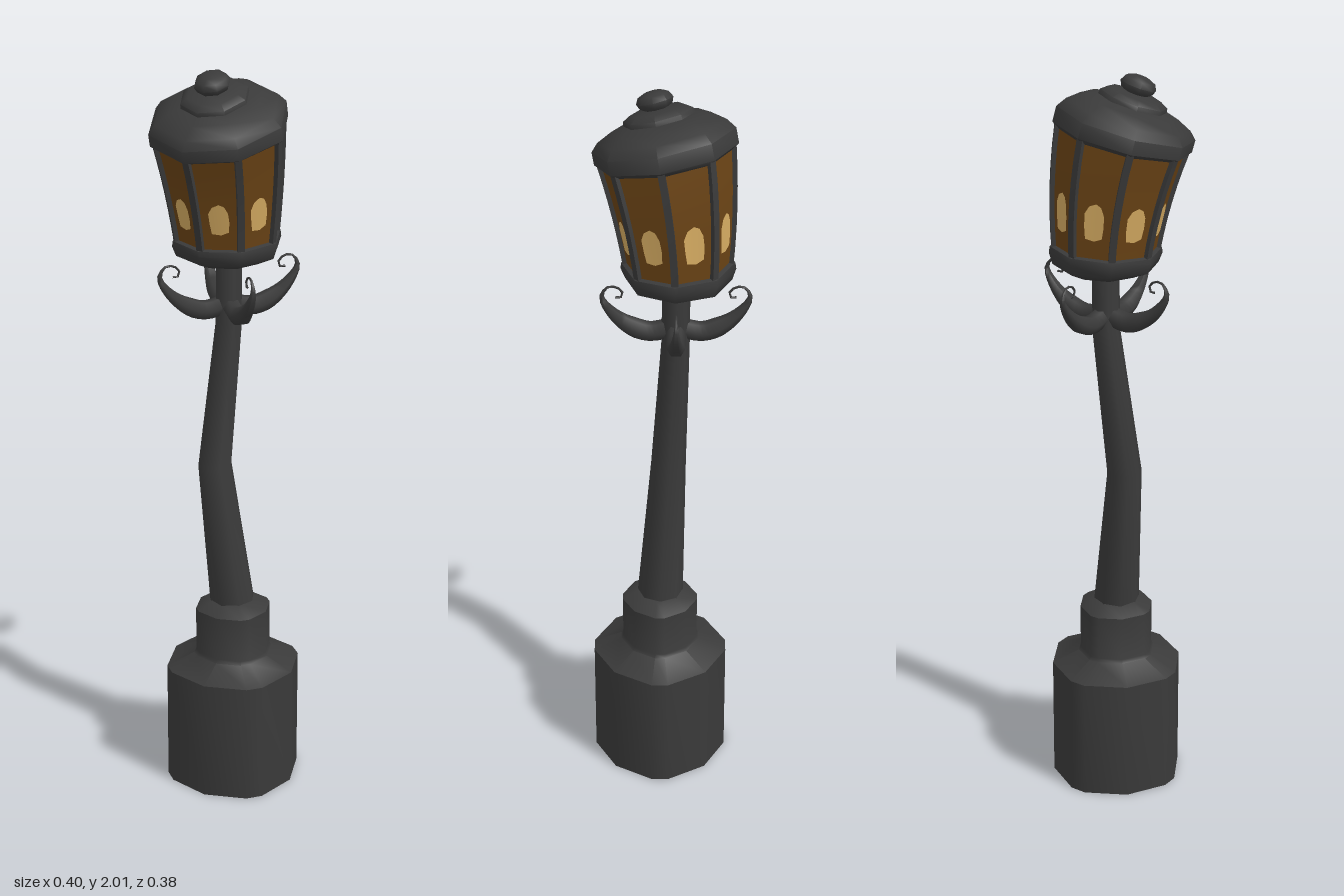
import * as THREE from 'three';
import { toCreasedNormals } from 'three/addons/utils/BufferGeometryUtils.js';

const iron = new THREE.MeshStandardMaterial({ color: 0x3a3a3a });
iron.name = 'dark iron';
const amber = new THREE.MeshStandardMaterial({ color: 0x6a4315, side: THREE.DoubleSide });
amber.name = 'amber glass';
const glow = new THREE.MeshStandardMaterial({ color: 0xd6ac62, side: THREE.DoubleSide });
glow.name = 'warm glow';

const SIDES = 8;
const TWIST = -0.06; // slight turn of the lantern about its axis
const STEP = (Math.PI * 2) / SIDES;
const BEND = 0.7; // curvature of the drooping lantern

// Calls rule(vertex, index) on every vertex, then rebuilds the normals
function reshape(geometry, rule, crease = 0.9) {
  const p = geometry.attributes.position;
  const v = new THREE.Vector3();
  for (let i = 0; i < p.count; i++) {
    v.fromBufferAttribute(p, i);
    rule(v, i);
    p.setXYZ(i, v.x, v.y, v.z);
  }
  geometry.computeVertexNormals();
  return toCreasedNormals(geometry, crease);
}

// Curves an upright lantern piece forward, more with height
function bend(v) {
  const a = v.y * BEND;
  const r = 1 / BEND - v.z;
  v.set(v.x, r * Math.sin(a), 1 / BEND - r * Math.cos(a));
}

const profile = (list) => list.map(([r, y]) => new THREE.Vector2(r, y));

function add(parent, name, geometry, material) {
  const mesh = new THREE.Mesh(geometry, material);
  mesh.name = name;
  parent.add(mesh);
  return mesh;
}

// Plinth with narrow chamfered diagonals
function makeBase() {
  const points = profile([[0, 0], [0.179, 0], [0.179, 0.34], [0.105, 0.375],
    [0.1, 0.385], [0.1, 0.51], [0.06, 0.535], [0, 0.535]]);
  const corner = [[0, 1], [38, 1.04], [52, 1.04]];
  return reshape(new THREE.LatheGeometry(points, 12), (v, i) => {
    const k = Math.floor(i / points.length);
    const [deg, scale] = corner[k % 3];
    const a = THREE.MathUtils.degToRad(Math.floor(k / 3) * 90 + deg);
    const r = points[i % points.length].x * scale;
    v.set(0.018 + r * Math.sin(a), v.y, -0.005 + r * Math.cos(a));
  }, 0.75);
}

// Crooked post: each ring is shifted to its own centre
function makePost() {
  const points = profile([[0.064, 0.5], [0.047, 0.93], [0.037, 1.33], [0.036, 1.52]]);
  const centre = [[0.019, -0.005], [-0.03, 0.01], [-0.01, -0.035], [-0.011, -0.037]];
  return reshape(new THREE.LatheGeometry(points, SIDES), (v, i) => {
    const [x, z] = centre[i % points.length];
    v.x += x;
    v.z += z;
  });
}

// Tapered scroll bracket reaching along +x
function makeArm() {
  const path = new THREE.CatmullRomCurve3([[0.01, 1.375], [0.07, 1.364], [0.125, 1.385],
    [0.17, 1.425], [0.191, 1.465], [0.176, 1.492], [0.152, 1.492], [0.137, 1.476],
    [0.143, 1.462], [0.156, 1.463]].map(([x, y]) => new THREE.Vector3(x, y, 0)));
  const segments = 22;
  const radial = 6;
  return reshape(new THREE.TubeGeometry(path, segments, 0.026, radial), (v, i) => {
    const t = Math.floor(i / (radial + 1)) / segments;
    const taper = t < 0.3 ? 1 : THREE.MathUtils.lerp(1, 0.12, Math.min(1, (t - 0.3) / 0.45));
    const c = path.getPointAt(t);
    v.sub(c).multiplyScalar(taper).add(c);
  }, 1.1);
}

// Lantern wall radius (at a corner) for a height above the tray's underside
const wall = (y) => THREE.MathUtils.mapLinear(y, 0.06, 0.35, 0.133, 0.168);

function makeLantern() {
  const lantern = new THREE.Group();
  lantern.name = 'lantern';
  const turned = (list) => reshape(
    new THREE.LatheGeometry(profile(list), SIDES, TWIST, Math.PI * 2), bend);

  add(lantern, 'tray', turned([[0, 0], [0.09, 0], [0.138, 0.022], [0.148, 0.05],
    [0.146, 0.066], [0.125, 0.072], [0, 0.072]]), iron);
  add(lantern, 'roof', turned([[0, 0.345], [0.165, 0.345], [0.184, 0.358], [0.184, 0.395],
    [0.165, 0.418], [0.125, 0.44], [0.085, 0.45], [0, 0.455]]), iron);
  add(lantern, 'roofCollar', turned([[0.092, 0.444], [0.09, 0.46], [0.07, 0.472],
    [0.03, 0.476], [0.03, 0.48]]), iron);
  add(lantern, 'finial', turned([[0.022, 0.472], [0.042, 0.482], [0.048, 0.496],
    [0.04, 0.511], [0.022, 0.519], [0, 0.521]]), iron);

  // Eight-sided glass wall
  const glass = new THREE.CylinderGeometry(wall(0.35), wall(0.06), 0.29, SIDES, 6, true, TWIST);
  glass.translate(0, 0.205, 0);
  add(lantern, 'glass', reshape(glass, bend, 0.5), amber);

  // Uneven glowing patch, repeated on each pane
  const blob = new THREE.Shape(profile([[-0.02, -0.045], [0.004, -0.049], [0.024, -0.04],
    [0.027, -0.01], [0.025, 0.02], [0.016, 0.04], [0.002, 0.047], [-0.016, 0.038],
    [-0.026, 0.018], [-0.024, -0.015]]));

  for (let k = 0; k < SIDES; k++) {
    const bar = new THREE.BoxGeometry(0.018, 0.3, 0.016, 1, 6, 1);
    bar.translate(0, 0.205, 0);
    const barTurn = TWIST + k * STEP;
    const axis = new THREE.Vector3(0, 1, 0);
    add(lantern, 'cornerBar', reshape(bar, (v) => {
      v.z += wall(v.y);
      v.applyAxisAngle(axis, barTurn);
      bend(v);
    }, 0.6), iron);

    const patch = new THREE.ShapeGeometry(blob);
    patch.translate(0, 0.165, 0);
    add(lantern, 'glowPatch', reshape(patch, (v) => {
      v.z += wall(v.y) * Math.cos(STEP / 2) + 0.004;
      v.applyAxisAngle(axis, barTurn + STEP / 2);
      bend(v);
    }), glow);
  }
  lantern.position.set(-0.017, 1.495, -0.038);
  return lantern;
}

export function createModel() {
  const model = new THREE.Group();
  model.name = 'streetLamp';
  add(model, 'base', makeBase(), iron);
  add(model, 'post', makePost(), iron);

  // Four brackets on the diagonals
  const arm = makeArm();
  for (let k = 0; k < 4; k++) {
    const mesh = add(model, 'scrollBracket', arm, iron);
    mesh.position.set(-0.01, 0, -0.036);
    mesh.rotation.y = Math.PI / 4 + (k * Math.PI) / 2;
  }
  model.add(makeLantern());
  return model;
}
